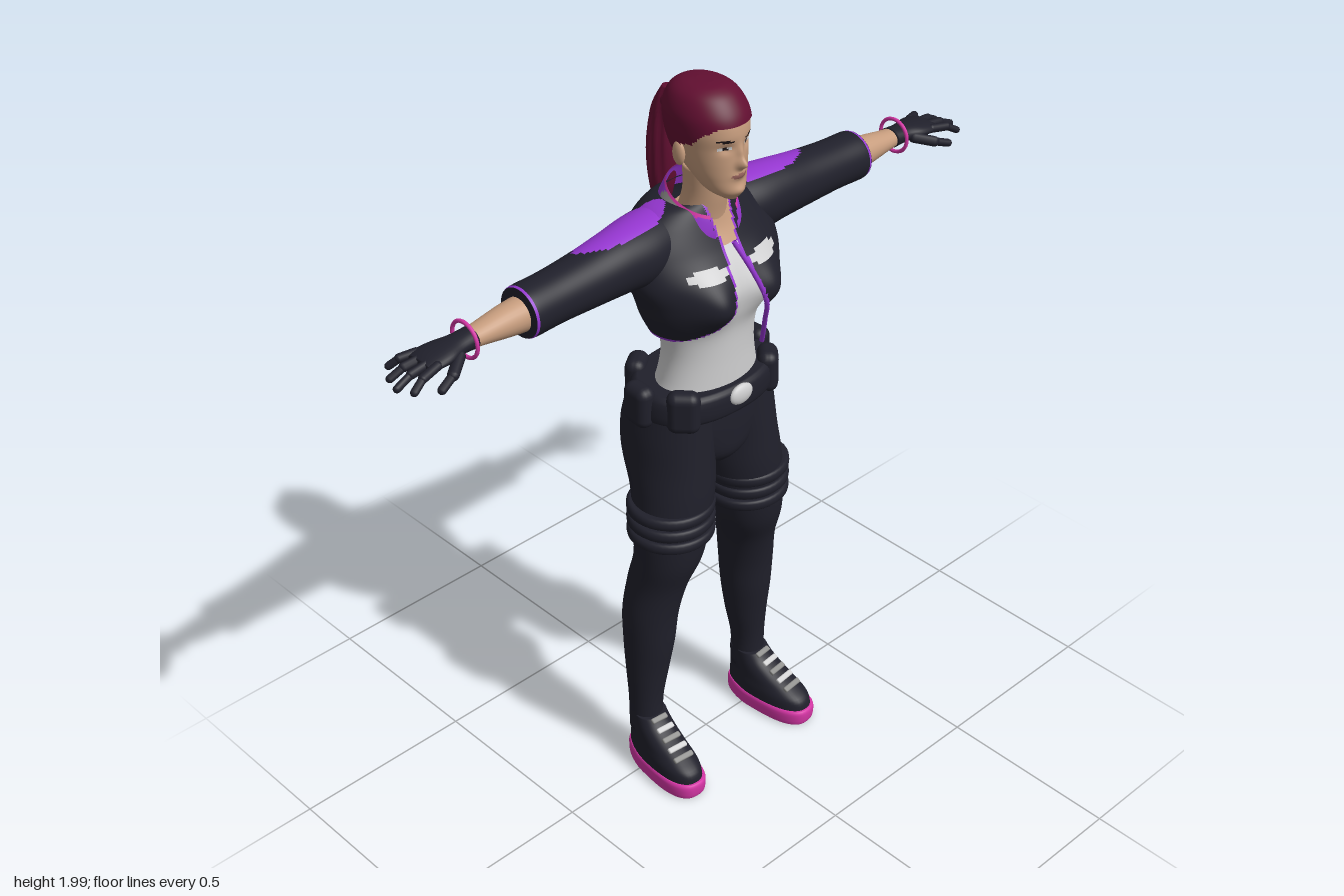
import * as THREE from 'three';
import { RoundedBoxGeometry } from 'three/addons/geometries/RoundedBoxGeometry.js';

const mat = (name, color) => {
  const m = new THREE.MeshStandardMaterial({ color, side: THREE.DoubleSide });
  m.name = name;
  return m;
};

export function createModel() {
  const root = new THREE.Group();
  root.name = 'figure';
  const navy = mat('navy cloth', 0x20202b), skin = mat('skin', 0xc69c7d), hair = mat('dark red hair', 0x620f31),
    purple = mat('purple', 0x9436cf), pink = mat('pink', 0xd636a6), tank = mat('pale grey', 0xcfcfd0),
    grey = mat('mid grey', 0x8c8c8a), soleGrey = mat('sole grey', 0x68686a), ink = mat('makeup', 0x1c1416), lip = mat('lips', 0x94605a);

  const lerpTable = (t, v) => {
    if (v <= t[0][0]) return t[0][1];
    for (let i = 1; i < t.length; i++) if (v <= t[i][0]) {
      const k = (v - t[i - 1][0]) / (t[i][0] - t[i - 1][0]);
      return t[i - 1][1] + k * (t[i][1] - t[i - 1][1]);
    }
    return t[t.length - 1][1];
  };

  // Smooth loft. Sections: [y, x0, x1, z0, z1], or [x, z0, z1, y0, y1] when axis is 'x'.
  // pick(x, y, z) returns the face's material, or null for no face.
  function loft(name, sections, pick, { axis = 'y', seg = 40, sub = 5, pow = 2, warp = null, caps = true } = {}) {
    const rows = [], S = sections, at = i => S[Math.max(0, Math.min(S.length - 1, i))];
    for (let i = 0; i < S.length - 1; i++) for (let k = 0; k < sub; k++) {
      const s = k / sub;
      rows.push(S[i].map((_, c) => {
        const [a, b, d, e] = [at(i - 1)[c], at(i)[c], at(i + 1)[c], at(i + 2)[c]];
        return b + 0.5 * s * (d - a + s * (2 * a - 5 * b + 4 * d - e + s * (3 * (b - d) + e - a)));
      }));
    }
    rows.push(S[S.length - 1]);
    const pts = [], make = (t, u, v) => {
      const p = axis === 'y' ? new THREE.Vector3(u, t, v) : new THREE.Vector3(t, v, u);
      if (warp) warp(p);
      pts.push(p);
    };
    const round = c => Math.sign(c) * Math.abs(c) ** (2 / pow);
    for (const [t, u0, u1, v0, v1] of rows) for (let j = 0; j < seg; j++) {
      const a = j / seg * Math.PI * 2;
      make(t, (u0 + u1) / 2 + (u1 - u0) / 2 * round(Math.cos(a)), (v0 + v1) / 2 + (v1 - v0) / 2 * round(Math.sin(a)));
    }
    const buckets = new Map();
    const face = (ids, tris) => {
      const c = new THREE.Vector3();
      ids.forEach(i => c.addScaledVector(pts[i], 1 / ids.length));
      const m = typeof pick === 'function' ? pick(c.x, c.y, c.z) : pick;
      if (!m) return;
      if (!buckets.has(m)) buckets.set(m, []);
      buckets.get(m).push(...tris);
    };
    for (let i = 0; i < rows.length - 1; i++) for (let j = 0; j < seg; j++) {
      const a = i * seg + j, b = i * seg + (j + 1) % seg, c = a + seg, d = b + seg;
      face([a, b, c, d], [a, c, b, b, c, d]);
    }
    if (caps) for (const end of [0, rows.length - 1]) {
      const [t, u0, u1, v0, v1] = rows[end], o = pts.length;
      make(t, (u0 + u1) / 2, (v0 + v1) / 2);
      for (let j = 0; j < seg; j++) {
        const a = end * seg + j, b = end * seg + (j + 1) % seg;
        face([a, b, o], end ? [a, o, b] : [a, b, o]);
      }
    }
    const g = new THREE.BufferGeometry(), index = [], mats = [];
    for (const [m, list] of buckets) {
      g.addGroup(index.length, list.length, mats.length);
      mats.push(m);
      for (const i of list) index.push(i);
    }
    g.setAttribute('position', new THREE.Float32BufferAttribute(pts.flatMap(p => [p.x, p.y, p.z]), 3));
    g.setIndex(index);
    g.computeVertexNormals();
    return named(name, g, mats.length > 1 ? mats : mats[0]);
  }
  function named(name, g, m) { const o = new THREE.Mesh(g, m); o.name = name; return o; }
  const add = (...m) => root.add(...m);
  // Adds a part and its mirror image
  function pair(m) {
    m.updateMatrix();
    m.geometry.applyMatrix4(m.matrix);
    m.position.set(0, 0, 0); m.rotation.set(0, 0, 0); m.scale.set(1, 1, 1);
    const g = m.geometry.clone().scale(-1, 1, 1);
    if (!g.index) g.setIndex([...Array(g.attributes.position.count).keys()]);
    const ix = g.index.array;
    for (let i = 0; i < ix.length; i += 3) [ix[i], ix[i + 1]] = [ix[i + 1], ix[i]];
    const r = named(m.name + 'Right', g, m.material);
    m.name += 'Left';
    add(m, r);
  }
  function ball(name, m, x, y, z, a, b, c) {
    const o = named(name, new THREE.SphereGeometry(1, 20, 14), m);
    o.position.set(x, y, z); o.scale.set(a, b, c);
    return o;
  }
  function bar(name, m, p, q, r) {
    const a = new THREE.Vector3(...p), b = new THREE.Vector3(...q), d = b.clone().sub(a);
    const o = named(name, new THREE.CapsuleGeometry(r, d.length(), 5, 10), m);
    o.position.copy(a).add(b).multiplyScalar(0.5);
    o.quaternion.setFromUnitVectors(new THREE.Vector3(0, 1, 0), d.normalize());
    return o;
  }
  const sym = (t, w, z0, z1) => [t, -w, w, z0, z1];
  const inEllipse = (x, y, cx, cy, a, b) => ((x - cx) / a) ** 2 + ((y - cy) / b) ** 2 < 1;

  // Legs, hips and thigh straps
  pair(loft('leg', [[.12, .15, .24, -.08, .015], [.22, .148, .24, -.082, .015], [.32, .128, .245, -.092, .025], [.42, .113, .249, -.102, .04],
    [.52, .103, .25, -.105, .05], [.62, .085, .238, -.097, .07], [.71, .055, .236, -.08, .1], [.81, .032, .236, -.09, .112],
    [.91, .014, .226, -.112, .115], [1.0, .003, .218, -.155, .11], [1.08, -.01, .212, -.165, .105], [1.16, -.01, .198, -.15, .1]], navy, { seg: 48 }));
  add(loft('hips', [sym(.955, .03, -.08, .06), sym(1.0, .12, -.12, .1), sym(1.07, .195, -.14, .108), sym(1.14, .195, -.14, .108), sym(1.19, .175, -.125, .105)], navy, { seg: 48 }));
  for (const y of [.79, .828, .866]) pair(loft('thighStrap', [[y - .016, .027, .24, -.094, .114], [y - .009, .02, .25, -.102, .122],
    [y + .009, .018, .25, -.103, .123], [y + .016, .025, .24, -.096, .115]], navy, { seg: 40, sub: 2 }));

  // Belt, buckle, pouches and a thin rod at the back
  add(loft('belt', [sym(1.135, .19, -.145, .115), sym(1.15, .203, -.156, .126), sym(1.2, .198, -.152, .126), sym(1.215, .18, -.138, .112)], navy, { seg: 56, sub: 3, pow: 2.3 }));
  add(ball('buckle', tank, 0, 1.19, .125, .038, .028, .014));
  for (const deg of [43, -4, -55]) {
    const a = deg * Math.PI / 180, p = named('pouch', new RoundedBoxGeometry(.085, .115, .055, 3, .025), navy);
    p.position.set(.2 * Math.cos(a), 1.178, -.02 + .135 * Math.sin(a));
    p.rotation.y = Math.PI / 2 - a;
    pair(p);
  }
  add(bar('rod', grey, [.1, 1.13, -.145], [.24, 1.122, -.145], .002));

  // Vest top with bare neckline
  const bust = (amp, cx) => p => {
    if (p.z > 0) p.z += amp * Math.exp(-(((Math.abs(p.x) - cx) / .055) ** 2) - ((p.y - 1.475) / .065) ** 2);
  };
  add(loft('vest', [sym(1.16, .17, -.12, .1), sym(1.22, .145, -.1, .1), sym(1.3, .132, -.09, .1), sym(1.37, .142, -.1, .104),
    sym(1.43, .165, -.11, .118), sym(1.49, .175, -.12, .122), sym(1.55, .165, -.13, .1), sym(1.62, .12, -.12, .055), sym(1.67, .07, -.08, .04)],
  (x, y) => y > 1.6 ? skin : tank, { seg: 56, warp: bust(.03, .085) }));

  // Cropped jacket body, open at the front
  const edge = [[1.37, .15], [1.385, .115], [1.41, .078], [1.45, .052], [1.5, .036], [1.6, .022], [1.7, .035]];
  const shoulderPatch = (x, y, z) => y > 1.625 && inEllipse(Math.abs(x), z, .23, -.055, .14, .055);
  const underPatch = (x, y, z) => y < 1.55 && inEllipse(Math.abs(x), z, .28, -.045, .095, .045);
  add(loft('jacketBody', [sym(1.37, .163, -.118, .112), sym(1.42, .188, -.133, .13), sym(1.47, .203, -.145, .14), sym(1.53, .222, -.155, .125),
    sym(1.6, .215, -.162, .085), sym(1.65, .18, -.16, .06), sym(1.685, .13, -.14, .045), sym(1.7, .085, -.11, .04)], (x, y, z) => {
    const e = lerpTable(edge, y), ax = Math.abs(x);
    if (z > 0 && ax < e) return null;
    if ((z > 0 && ax < e + .007) || y < 1.378) return purple;
    if (shoulderPatch(x, y, z)) return purple;
    if (z > 0 && inEllipse(ax, y, .09, 1.553, .052, .016)) return tank;
    if (z < 0 && inEllipse(x, y, 0, 1.565, .055, .024)) return tank;
    return navy;
  }, { seg: 180, sub: 9, caps: false, warp: bust(.035, .09) }));

  // Sleeves, forearms, gloves and bracelets
  pair(loft('sleeve', [[.1, -.145, .03, 1.525, 1.685], [.18, -.138, .042, 1.515, 1.685], [.26, -.12, .04, 1.523, 1.68], [.36, -.108, .035, 1.527, 1.668],
    [.46, -.1, .032, 1.53, 1.66], [.54, -.1, .032, 1.527, 1.657], [.557, -.097, .03, 1.53, 1.654]],
  (x, y, z) => x > .55 && x < .5565 || shoulderPatch(x, y, z) || underPatch(x, y, z) ? purple : navy, { axis: 'x', seg: 72, sub: 8 }));
  pair(loft('forearm', [[.52, -.08, .012, 1.542, 1.635], [.6, -.075, .005, 1.55, 1.627], [.68, -.066, -.004, 1.562, 1.614], [.73, -.062, -.008, 1.565, 1.61]], skin, { axis: 'x', seg: 28 }));
  pair(loft('glove', [[.695, -.067, -.003, 1.562, 1.614], [.74, -.068, 0, 1.567, 1.61], [.78, -.08, .012, 1.567, 1.607],
    [.82, -.085, .012, 1.568, 1.6], [.842, -.075, .003, 1.573, 1.592]], navy, { axis: 'x', seg: 28 }));
  for (const [z, spread, reach] of [[-.075, -.03, .875], [-.049, -.012, .905], [-.022, .004, .918], [.002, .018, .9]]) {
    const mid = [(.825 + reach) / 2 + .005, 1.578, z + spread * .5];
    pair(bar('fingerBase', navy, [.82, 1.585, z], mid, .0115));
    pair(bar('fingerTip', navy, mid, [reach, 1.56, z + spread], .0095));
  }
  pair(bar('thumbBase', navy, [.755, 1.58, -.002], [.8, 1.565, .03], .014));
  pair(bar('thumbTip', navy, [.8, 1.565, .03], [.842, 1.55, .042], .0105));
  const bracelet = named('bracelet', new THREE.TorusGeometry(.045, .005, 8, 32), pink);
  bracelet.position.set(.713, 1.59, -.035);
  bracelet.rotation.y = Math.PI / 2;
  pair(bracelet);

  // Collar with trim, and the strap across the vest
  add(loft('collar', [sym(1.63, .125, -.13, .075), sym(1.67, .105, -.118, .078), sym(1.7, .09, -.108, .074), sym(1.715, .083, -.1, .068)], (x, y, z) => {
    const h = y + z * .4 + .012;
    if (z > 0 && Math.abs(x) < .026 + (h - 1.63) * .2) return null;
    if (h > 1.706) return pink;
    return Math.abs(x) > .078 && h > 1.645 && z < .035 && z > -.07 ? grey : purple;
  }, { seg: 72, sub: 5, caps: false, warp: p => { p.y -= (p.z + .03) * .4; } }));
  add(named('strap', new THREE.TubeGeometry(new THREE.CatmullRomCurve3([[0, 1.61, .095], [.028, 1.53, .135], [.058, 1.45, .15], [.09, 1.36, .115], [.122, 1.27, .075]]
    .map(p => new THREE.Vector3(...p))), 30, .0065, 8), purple));

  // Neck and head
  add(loft('neck', [sym(1.6, .075, -.09, .04), sym(1.66, .06, -.075, .045), sym(1.72, .052, -.06, .055), sym(1.79, .055, -.06, .06)], skin, { seg: 32 }));
  const skull = [[1.728, .018, .045, .1], [1.75, .045, .005, .113], [1.785, .062, -.035, .113], [1.82, .073, -.075, .113], [1.86, .081, -.097, .112],
    [1.9, .086, -.106, .115], [1.94, .084, -.106, .105], [1.97, .068, -.09, .078], [1.988, .043, -.062, .048], [1.994, .01, -.02, .015]];
  const faceShape = p => {
    if (p.z < .04) return;
    const g = (cx, cy, a, b) => Math.exp(-(((Math.abs(p.x) - cx) / a) ** 2) - ((p.y - cy) / b) ** 2);
    p.z += .024 * g(0, 1.826, .011, .014) + .01 * g(0, 1.853, .009, .02) + .007 * g(0, 1.795, .018, .01) + .006 * g(0, 1.755, .02, .012) - .007 * g(.034, 1.868, .016, .012);
  };
  add(loft('head', skull.map(([y, w, a, b]) => sym(y, w, a, b)), (x, y, z) => {
    const ax = Math.abs(x);
    if (z > .04) {
      if (inEllipse(ax, y, .036, 1.868, .017, .0055)) return inEllipse(ax, y, .034, 1.867, .006, .006) || y > 1.87 ? ink : tank;
      if (inEllipse(ax, y, .037, 1.888 + (ax - .037) * .2, .021, .004)) return ink;
      if (inEllipse(x, y, 0, 1.794, .023, .007)) return lip;
    }
    return skin;
  }, { seg: 150, sub: 10, pow: 2.1, warp: faceShape }));
  pair(ball('ear', skin, .083, 1.838, -.005, .011, .031, .019));

  // Swept-back hair and ponytail
  const hairline = [[-.12, 1.785], [-.05, 1.8], [-.022, 1.83], [0, 1.865], [.04, 1.875], [.07, 1.905], [.1, 1.922], [.13, 1.925]];
  add(loft('hair', skull.map(([y, w, a, b]) => sym(y > 1.96 ? y + .006 : y, w + .005, a - .005, b + .004)),
    (x, y, z) => y > lerpTable(hairline, z) ? hair : null, { seg: 100, sub: 9, pow: 2.1 }));
  add(loft('ponytail', [sym(1.605, .006, -.165, -.145), sym(1.64, .022, -.182, -.128), sym(1.7, .034, -.19, -.115), sym(1.78, .037, -.192, -.108),
    sym(1.86, .032, -.182, -.108), sym(1.91, .025, -.162, -.1), sym(1.94, .014, -.145, -.09)], hair,
  { seg: 48, warp: p => { p.x *= 1 + .08 * Math.sin(p.z * 260); } }));
  const tie = named('hairTie', new THREE.TorusGeometry(.022, .008, 8, 24), hair);
  tie.position.set(0, 1.915, -.12);
  tie.rotation.x = .5;
  add(tie);

  // Shoes: sole, upper and laces, turned slightly outward
  const shoe = m => {
    m.updateMatrix();
    m.geometry.applyMatrix4(m.matrix).rotateY(.1).translate(.197, 0, 0);
    m.position.set(0, 0, 0); m.rotation.set(0, 0, 0);
    pair(m);
  };
  const toe = p => { p.x *= 1 - .16 * Math.max(0, -p.z / .09) + .04 * Math.max(0, p.z / .19); };
  shoe(loft('sole', [sym(.008, .056, -.083, .185), sym(.014, .061, -.089, .192), sym(.045, .062, -.09, .194), sym(.055, .057, -.086, .188)],
    (x, y) => y < .0095 ? soleGrey : pink, { seg: 48, sub: 3, pow: 2.6, warp: toe }));
  shoe(loft('shoeUpper', [sym(.05, .058, -.086, .186), sym(.08, .056, -.085, .176), sym(.105, .052, -.084, .135), sym(.13, .05, -.083, .085),
    sym(.155, .048, -.083, .045), sym(.178, .046, -.082, .022)], navy, { seg: 48, pow: 2.4, warp: toe }));
  for (let i = 0; i < 5; i++) {
    const lace = named('lace', new RoundedBoxGeometry(.062 - i * .003, .011, .016, 2, .004), i % 2 ? tank : grey);
    lace.position.set(0, .108 + i * .016, .13 - i * .0265);
    lace.rotation.x = .5;
    shoe(lace);
  }
  return root;
}
